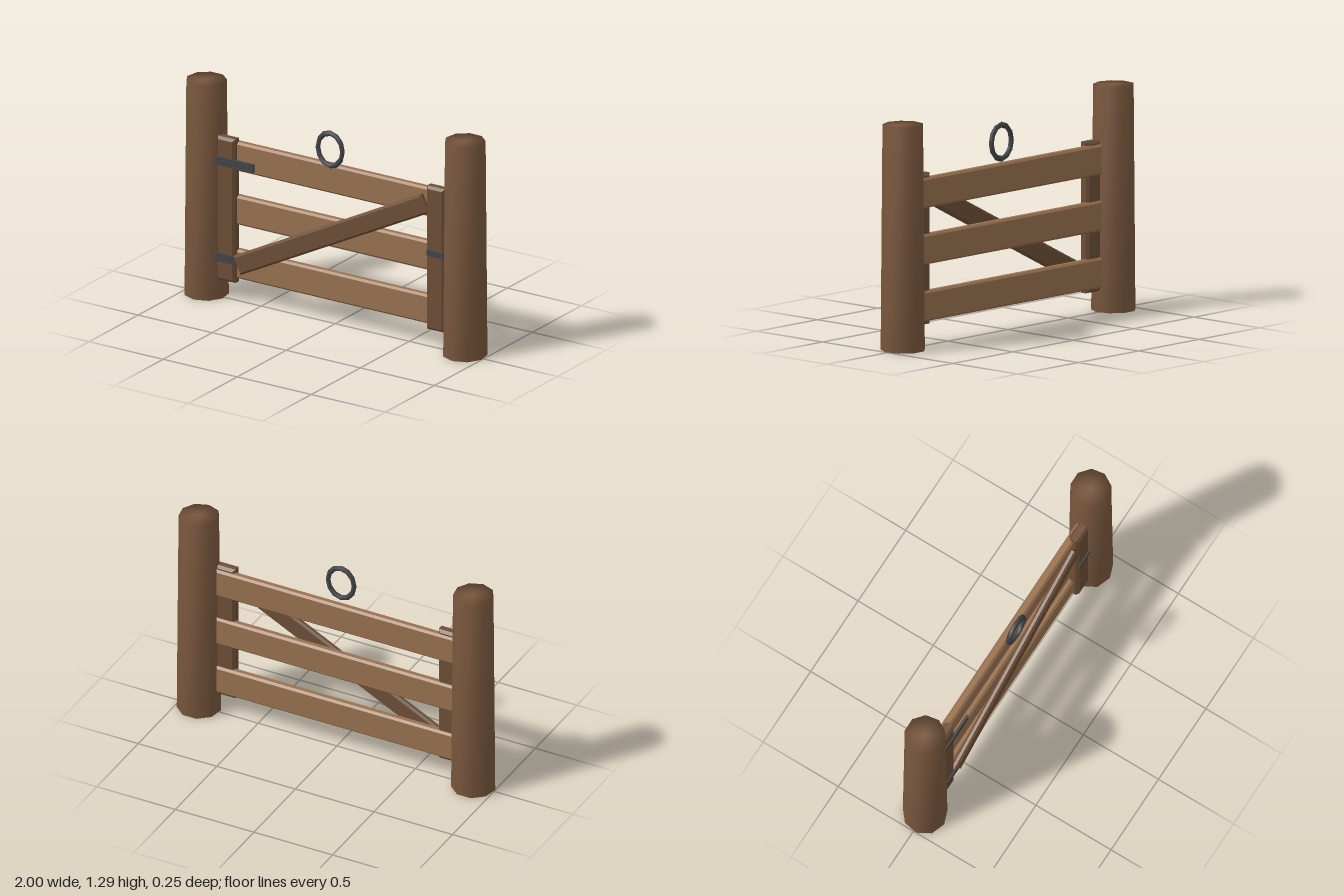
import * as THREE from 'three';
import { mergeVertices } from 'three/addons/utils/BufferGeometryUtils.js';

const paint = (name, color) => {
  const m = new THREE.MeshStandardMaterial({ color });
  m.name = name;
  return m;
};

// Board with chamfered edges, centred on the origin
function board(w, h, d, bevel = 0.012) {
  const x = w / 2 - bevel, y = h / 2 - bevel;
  const shape = new THREE.Shape();
  shape.moveTo(-x, -y).lineTo(x, -y).lineTo(x, y).lineTo(-x, y).closePath();
  const g = new THREE.ExtrudeGeometry(shape, {
    depth: d - 2 * bevel, bevelEnabled: true, bevelSegments: 1,
    bevelSize: bevel, bevelThickness: bevel,
  });
  return g.translate(0, 0, -d / 2 + bevel);
}

export function createModel() {
  const gate = new THREE.Group();
  gate.name = 'gate';
  const postWood = paint('post wood', 0x7a583e);
  const railWood = paint('rail wood', 0x98714f);
  const frameWood = paint('frame wood', 0x6d4e37);
  const iron = paint('dark iron', 0x434448);

  const add = (name, geometry, material, x, y, z) => {
    const mesh = new THREE.Mesh(geometry, material);
    mesh.name = name;
    mesh.position.set(x, y, z);
    gate.add(mesh);
    return mesh;
  };

  // Tapered posts whose caps share smooth normals with the sides
  let post = new THREE.CylinderGeometry(0.117, 0.1275, 1.29, 9);
  post.deleteAttribute('normal');
  post.deleteAttribute('uv');
  post = mergeVertices(post);
  post.computeVertexNormals();
  add('rightPost', post, postWood, -0.873, 0.645, -0.003);
  add('leftPost', post, postWood, 0.873, 0.645, -0.003);

  // Three horizontal rails
  const rail = board(1.52, 0.174, 0.05);
  [0.228, 0.553, 0.876].forEach((y, i) => add(`rail${i + 1}`, rail, railWood, 0, y, 0));

  // Upright end boards on the front of the rails
  const stile = board(0.12, 0.865, 0.065, 0.015);
  add('rightStile', stile, frameWood, -0.707, 0.553, 0.022);
  add('leftStile', stile, frameWood, 0.707, 0.553, 0.022);

  // Diagonal brace
  const brace = add('brace', board(1.425, 0.116, 0.04), frameWood, 0.005, 0.555, 0.043);
  brace.rotation.z = Math.atan2(0.644, 1.272);

  // Iron straps and latch
  const strap = new THREE.BoxGeometry(0.255, 0.05, 0.015);
  add('upperHinge', strap, iron, -0.643, 0.842, 0.0545);
  add('lowerHinge', strap, iron, -0.643, 0.261, 0.0545);
  add('latch', new THREE.BoxGeometry(0.115, 0.036, 0.015), iron, 0.713, 0.587, 0.0545);

  // Pull ring standing on the top rail
  const ring = new THREE.TorusGeometry(0.083, 0.0145, 6, 12);
  ring.scale(1.0, 1.18, 1);
  add('ring', ring, iron, 0, 1.068, 0.052);

  return gate;
}
